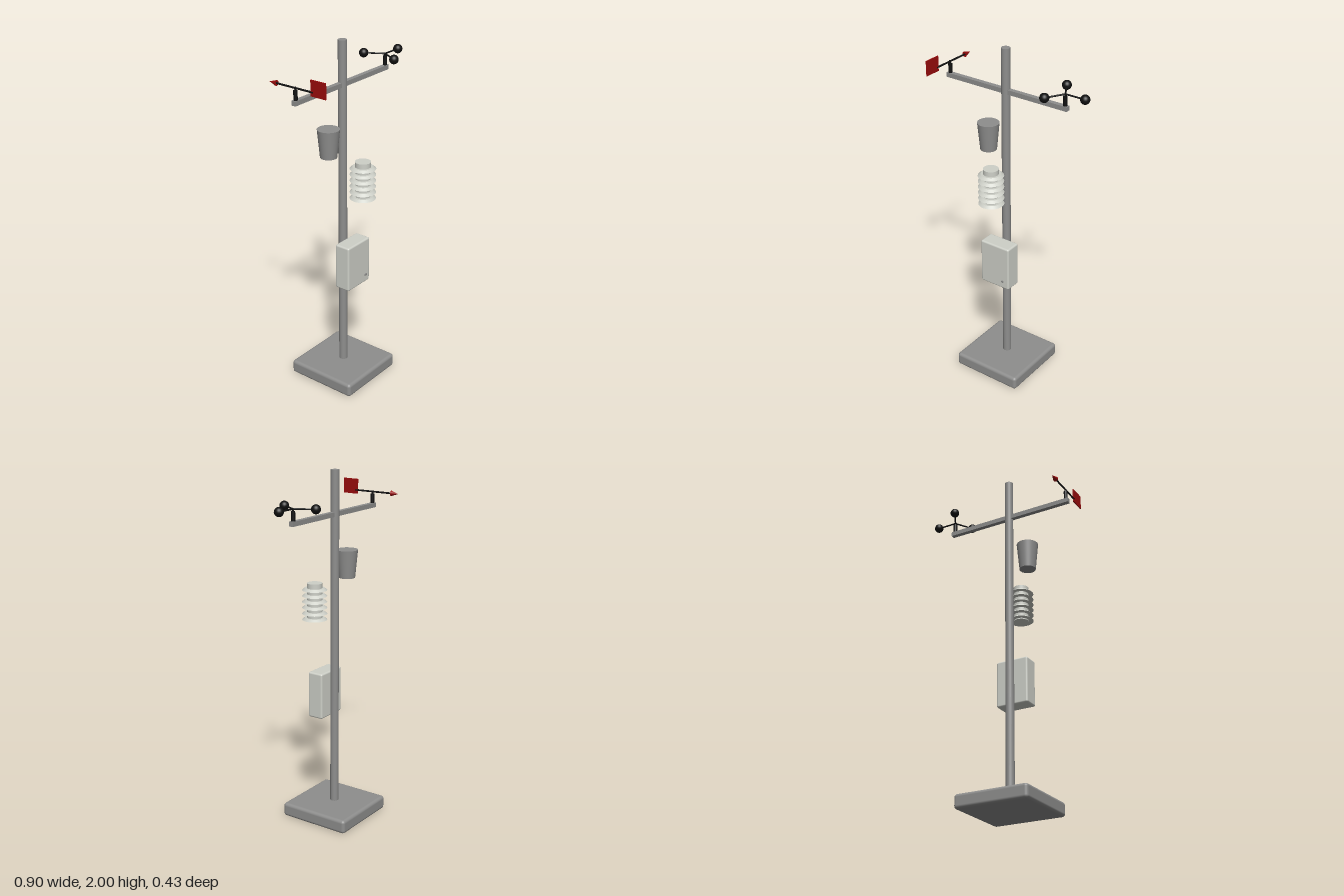
import * as THREE from 'three';
import { RoundedBoxGeometry } from 'three/addons/geometries/RoundedBoxGeometry.js';

export function createModel() {
  const material = (name, color) => {
    const m = new THREE.MeshStandardMaterial({ color });
    m.name = name;
    return m;
  };
  const grey = material('metal grey', 0x8e8e8d);
  const white = material('off white', 0xced0c8);
  const black = material('black', 0x101010);
  const red = material('red', 0x9c0c0c);

  const MAST_X = -0.0625;
  const SENSOR_Y = 1.838;
  const model = new THREE.Group();
  model.name = 'weatherStation';

  const add = (parent, name, geometry, mat, x = 0, y = 0, z = 0) => {
    const mesh = new THREE.Mesh(geometry, mat);
    mesh.name = name;
    mesh.position.set(x, y, z);
    parent.add(mesh);
    return mesh;
  };
  const group = (name, x, y, z) => {
    const g = new THREE.Group();
    g.name = name;
    g.position.set(x, y, z);
    model.add(g);
    return g;
  };
  const cylinder = (top, bottom, height, sides = 32) =>
    new THREE.CylinderGeometry(top, bottom, height, sides);

  // Base, mast and crossarm
  add(model, 'base', new RoundedBoxGeometry(0.427, 0.08, 0.427, 4, 0.018), grey, MAST_X, 0.04, 0);
  add(model, 'mast', cylinder(0.024, 0.024, 1.94), grey, MAST_X, 1.03, 0);
  add(model, 'crossarm', new THREE.BoxGeometry(0.775, 0.026, 0.026), grey, MAST_X, 1.762, 0);

  // Rain gauge
  add(model, 'rainGauge', cylinder(0.061, 0.046, 0.158, 48), grey, -0.181, 1.469, 0);

  // Radiation shield: a core with six sloping louvre plates
  const shield = group('radiationShield', MAST_X, 1.254, 0.137);
  add(shield, 'shieldCore', cylinder(0.043, 0.043, 0.216, 40), white);
  for (let i = 0; i < 6; i++) {
    add(shield, 'shieldPlate', cylinder(0.056, 0.071, 0.012, 40), white, 0, -0.096 + i * 0.034, 0);
  }

  // Control box with a small latch on its door
  add(model, 'controlBox', new RoundedBoxGeometry(0.191, 0.267, 0.094, 4, 0.01), white, MAST_X, 0.7365, 0.068);
  const latch = add(model, 'latch', cylinder(0.007, 0.007, 0.008, 20), grey, -0.006, 0.65, 0.117);
  latch.rotation.x = Math.PI / 2;

  // Both sensors stand on a short post with a thin spindle
  const sensor = (name, side) => {
    const g = group(name, MAST_X + side * 0.37, SENSOR_Y, 0);
    add(g, 'post', cylinder(0.011, 0.011, 0.052, 24), black, 0, -0.038, 0);
    add(g, 'spindle', cylinder(0.005, 0.005, 0.022, 16), black, 0, -0.006, 0);
    return g;
  };

  // Wind vane, pointing to the back
  const vane = sensor('windVane', -1);
  const rod = add(vane, 'vaneRod', cylinder(0.005, 0.005, 0.24, 16), black, 0, 0, -0.005);
  rod.rotation.x = Math.PI / 2;
  const tip = add(vane, 'vaneTip', new THREE.ConeGeometry(0.015, 0.046, 24), red, 0, 0, -0.147);
  tip.rotation.x = -Math.PI / 2;
  add(vane, 'vaneFin', new THREE.BoxGeometry(0.006, 0.084, 0.095), red, 0, 0.021, 0.147);

  // Anemometer: three arms with round cups
  const anemometer = sensor('anemometer', 1);
  for (let i = 0; i < 3; i++) {
    const arm = new THREE.Group();
    arm.name = 'cupArm';
    arm.rotation.y = (i * Math.PI * 2) / 3;
    anemometer.add(arm);
    const bar = add(arm, 'cupRod', cylinder(0.0045, 0.0045, 0.117, 16), black, 0.0585, 0, 0);
    bar.rotation.z = Math.PI / 2;
    add(arm, 'cup', new THREE.SphereGeometry(0.0255, 28, 18), black, 0.117, 0, 0);
  }

  return model;
}
